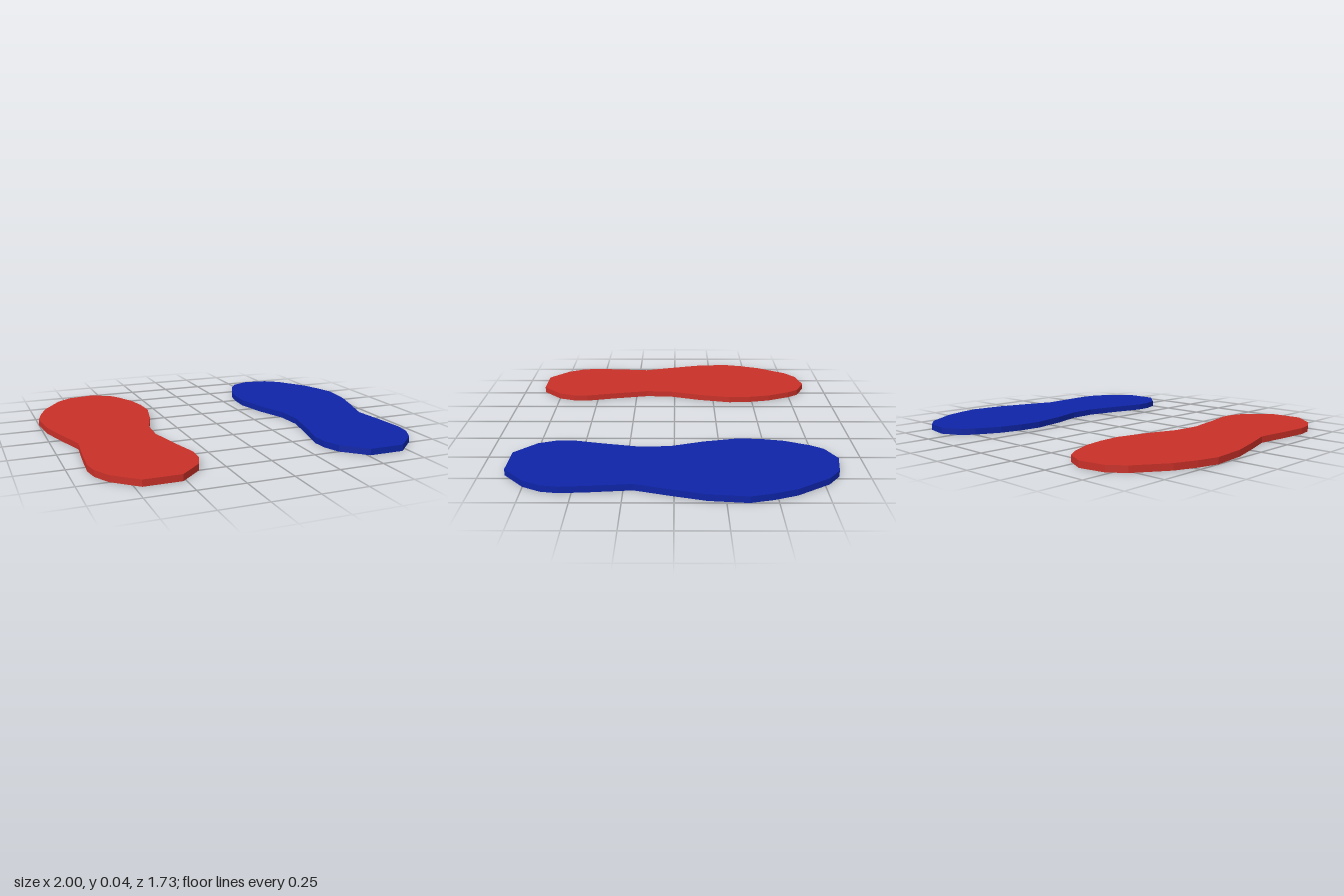
import * as THREE from 'three';

// Outline of the left sole as [x, z], starting at the toe tip
const OUTLINE = [
  [0.58, -0.865], [0.725, -0.84], [0.81, -0.775], [0.925, -0.6], [0.97, -0.48],
  [1.0, -0.36], [0.98, -0.16], [0.93, 0.02], [0.875, 0.2], [0.895, 0.41],
  [0.905, 0.565], [0.89, 0.655], [0.84, 0.75], [0.715, 0.865], [0.515, 0.865],
  [0.395, 0.75], [0.36, 0.655], [0.355, 0.565], [0.395, 0.4], [0.44, 0.18],
  [0.43, 0.02], [0.37, -0.16], [0.327, -0.355], [0.335, -0.485], [0.36, -0.61],
  [0.42, -0.745], [0.465, -0.81],
];
const THICKNESS = 0.035;

// A flat footprint slab; side is +1 for the left foot, -1 for its mirror
function makeSole(name, side, color) {
  const shape = new THREE.Shape(OUTLINE.map(([x, z]) => new THREE.Vector2(side * x, -z)));
  const geometry = new THREE.ExtrudeGeometry(shape, { depth: THICKNESS, bevelEnabled: false });
  geometry.rotateX(-Math.PI / 2);
  const mesh = new THREE.Mesh(geometry, new THREE.MeshStandardMaterial({ color, flatShading: true }));
  mesh.name = name;
  return mesh;
}

export function createModel() {
  const model = new THREE.Group();
  model.name = 'footprints';
  model.add(makeSole('leftSole', 1, 0x0d24a6), makeSole('rightSole', -1, 0xc83028));
  return model;
}
